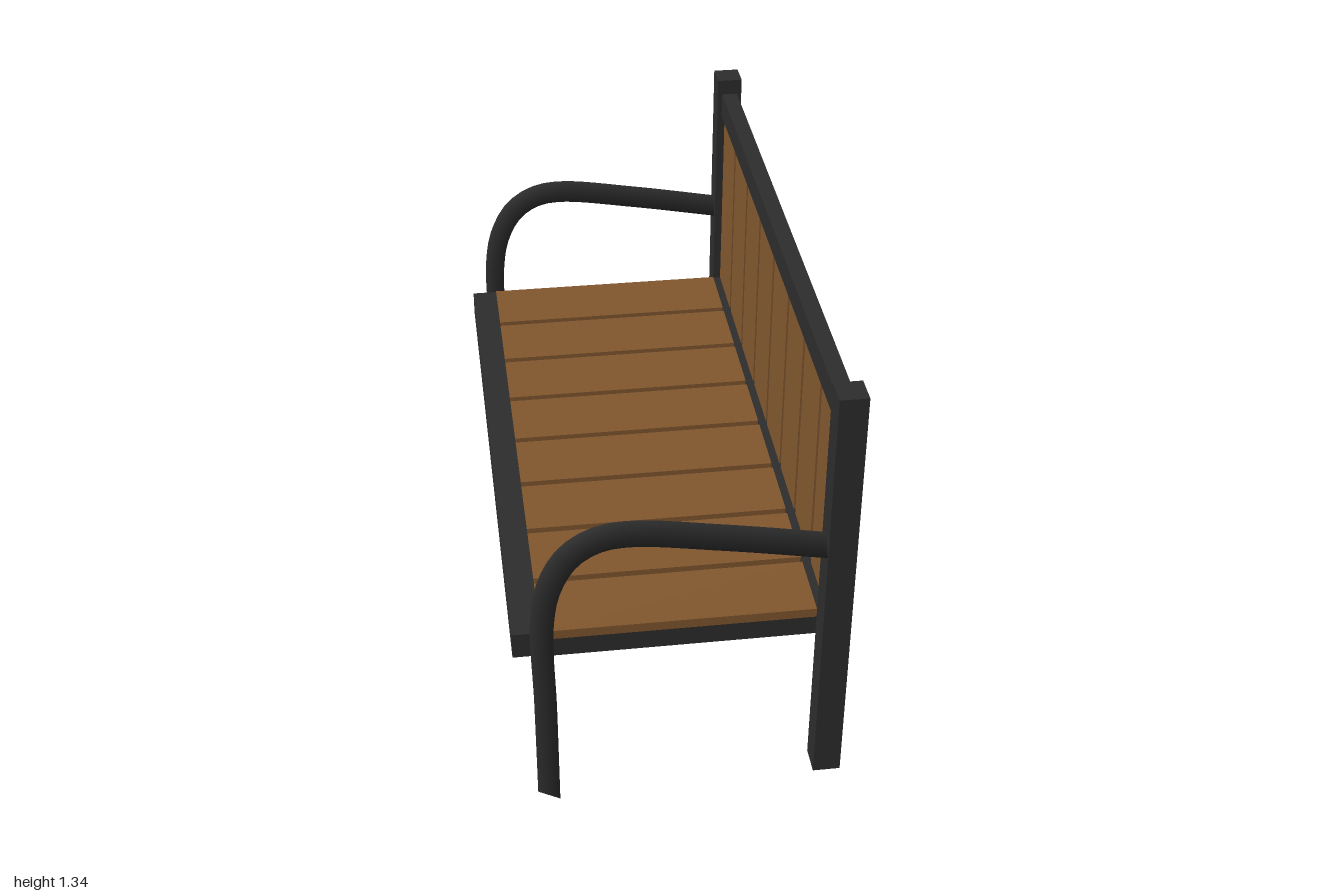
import * as THREE from 'three';

const wood = new THREE.MeshStandardMaterial({ color: 0x82572e });
wood.name = 'wood';
const metal = new THREE.MeshStandardMaterial({ color: 0x2d2d2d });
metal.name = 'darkMetal';

// Box given by its minimum and maximum on each axis
function box(name, material, [x0, x1], [y0, y1], [z0, z1]) {
  const mesh = new THREE.Mesh(new THREE.BoxGeometry(x1 - x0, y1 - y0, z1 - z0), material);
  mesh.position.set((x0 + x1) / 2, (y0 + y1) / 2, (z0 + z1) / 2);
  mesh.name = name;
  return mesh;
}

// Front leg and armrest: one bent bar of triangular section, ridge facing outward
function armGeometry() {
  const path = new THREE.CatmullRomCurve3([
    [-0.375, 0], [-0.376, 0.35], [-0.378, 0.66], [-0.355, 0.785], [-0.305, 0.875],
    [-0.235, 0.922], [-0.15, 0.934], [0.1, 0.897], [0.4, 0.84],
  ].map(([x, y]) => new THREE.Vector3(x, y, 0)));
  const steps = 48, radius = 0.041;
  const tube = new THREE.TubeGeometry(path, steps, radius, 3);
  const { position, normal } = tube.attributes;
  for (let i = 0; i <= steps; i++) {
    const centre = path.getPointAt(i / steps);
    const tangent = path.getTangentAt(i / steps);
    const out = new THREE.Vector3(-tangent.y, tangent.x, 0);
    for (let j = 0; j <= 3; j++) {
      const a = (j / 3) * Math.PI * 2;
      const dir = out.clone().multiplyScalar(Math.cos(a));
      dir.z = -Math.sin(a);
      const k = i * 4 + j;
      normal.setXYZ(k, dir.x, dir.y, dir.z);
      position.setXYZ(k, centre.x + dir.x * radius, centre.y + dir.y * radius, dir.z * radius);
    }
  }
  return tube;
}

export function createModel() {
  const bench = new THREE.Group();
  bench.name = 'bench';
  const halfLength = 0.917;
  const span = [-halfLength, halfLength];

  // Long rails of the seat and back
  bench.add(
    box('seatFrontRail', metal, [-0.47, -0.39], [0.49, 0.572], span),
    box('backLowerRail', metal, [0.39, 0.47], [0.49, 0.572], span),
    box('backTopRail', metal, [0.405, 0.455], [1.21, 1.29], span),
  );

  // Wooden slats of the seat and back
  const count = 8, width = 0.21;
  const pitch = (2 * halfLength - width) / (count - 1);
  for (let i = 0; i < count; i++) {
    const z = -halfLength + i * pitch;
    bench.add(
      box('seatSlat', wood, [-0.39, 0.39], [0.546, 0.575], [z, z + width]),
      box('backSlat', wood, [0.415, 0.445], [0.572, 1.21], [z, z + width]),
    );
  }

  // Posts, seat side rails and arms at both ends
  const arm = armGeometry();
  const footShape = new THREE.CircleGeometry(0.041, 3).rotateZ(Math.PI).rotateX(Math.PI / 2);
  for (const side of [-1, 1]) {
    const end = side > 0 ? 'left' : 'right';
    const range = (a, b) => (side > 0 ? [a, b] : [-b, -a]);
    bench.add(
      box(end + 'Post', metal, [0.39, 0.47], [0.023, 1.34], range(0.917, 1)),
      box(end + 'SeatSideRail', metal, [-0.39, 0.39], [0.485, 0.546], range(0.877, 0.917)),
    );
    const armMesh = new THREE.Mesh(arm, metal);
    armMesh.name = end + 'ArmAndLeg';
    armMesh.position.z = side * 0.96;
    const foot = new THREE.Mesh(footShape, metal);
    foot.name = end + 'LegEnd';
    foot.position.set(-0.375, 0, side * 0.96);
    bench.add(armMesh, foot);
  }
  return bench;
}
